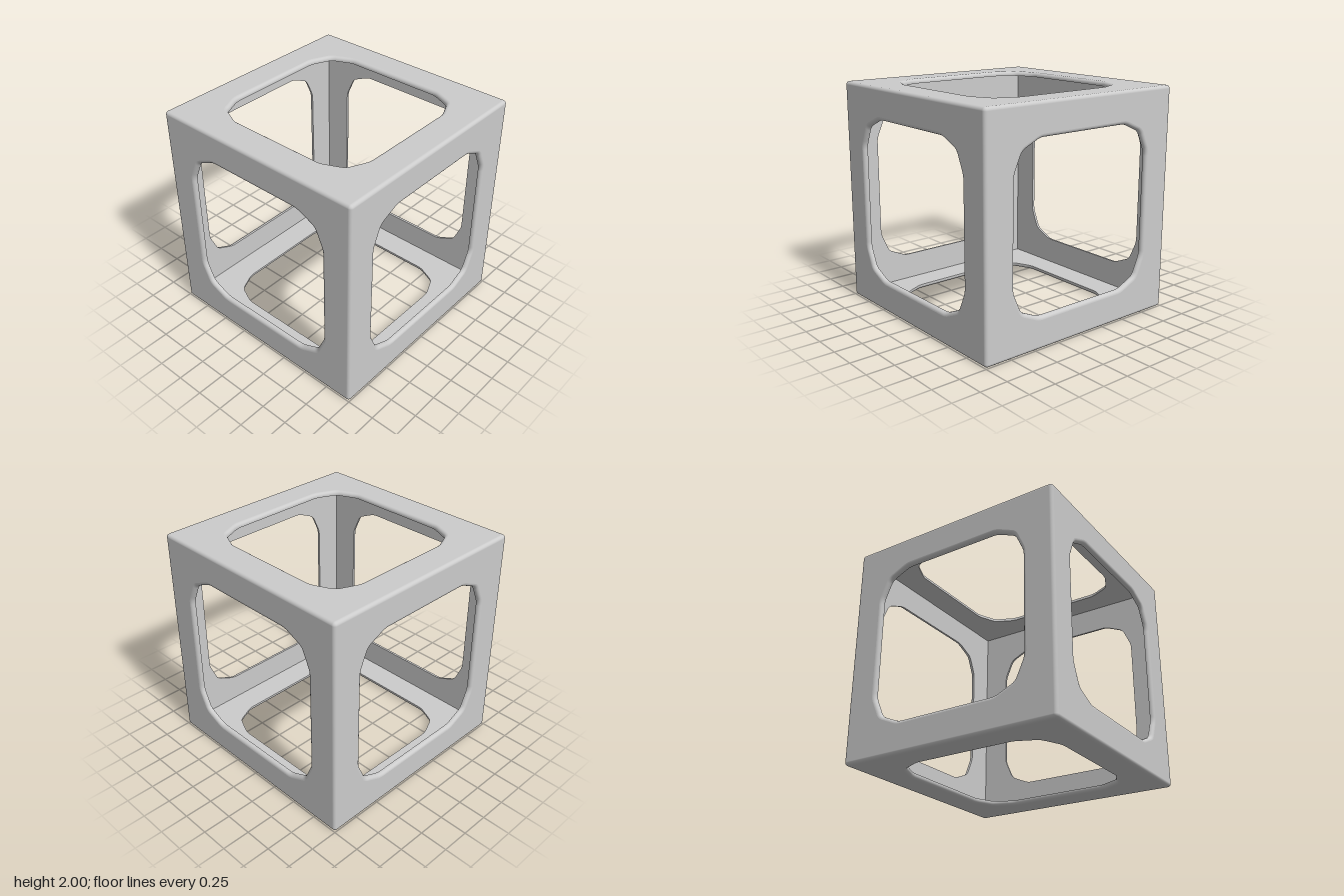
import * as THREE from 'three';

const WALL = 0.04;   // panel thickness
const R = 0.03;      // rounding of outer edges and window rims
const STEPS = 6;

// Twelve-sided window outline grown outward by d, corners slightly softened
function windowOutline(d) {
  const a = 0.72 + d, b = 0.46 + 0.21 * d, c = 0.64 + 0.757 * d;
  const corners = [];
  for (let q = 0; q < 4; q++) {
    for (const [x, y] of [[a, b], [c, c], [b, a]]) {
      corners.push(new THREE.Vector2(x, y).rotateAround(new THREE.Vector2(), q * Math.PI / 2));
    }
  }
  const points = [];
  corners.forEach((p, i) => {
    const prev = corners[(i + 11) % 12], next = corners[(i + 1) % 12];
    const from = p.clone().add(prev.clone().sub(p).setLength(0.04));
    const to = p.clone().add(next.clone().sub(p).setLength(0.04));
    points.push(...new THREE.QuadraticBezierCurve(from, p, to).getPoints(4));
  });
  return points;
}

// Flat square sheet with the window cut out
function sheet(half, d) {
  const shape = new THREE.Shape([[-1, -1], [1, -1], [1, 1], [-1, 1]]
    .map(([x, y]) => new THREE.Vector2(x * half, y * half)));
  shape.holes.push(new THREE.Path(windowOutline(d)));
  return new THREE.ShapeGeometry(shape);
}

// Rounded window rim lofted from the outer sheet to the inner sheet
function windowRim() {
  const rows = [];
  for (let k = 0; k <= STEPS; k++) {
    const t = k / STEPS * Math.PI / 2;
    rows.push([R * (1 - Math.sin(t)), 1 - R * (1 - Math.cos(t))]);
  }
  rows.push([0, 1 - WALL]);
  const pos = [], index = [];
  let n = 0;
  rows.forEach(([d, z]) => {
    const loop = windowOutline(d);
    n = loop.length;
    loop.forEach(p => pos.push(p.x, p.y, z));
  });
  for (let k = 0; k < rows.length - 1; k++) {
    for (let i = 0; i < n; i++) {
      const j = (i + 1) % n, a = k * n, b = a + n;
      index.push(a + i, a + j, b + j, a + i, b + j, b + i);
    }
  }
  const geo = new THREE.BufferGeometry();
  geo.setAttribute('position', new THREE.Float32BufferAttribute(pos, 3));
  geo.setIndex(index);
  geo.computeVertexNormals();
  return geo;
}

export function createModel() {
  const model = new THREE.Group();
  model.name = 'openCubeFrame';
  const grey = new THREE.MeshStandardMaterial({ color: 0xcccccc });
  grey.name = 'light grey';

  const add = (parent, name, geo) => {
    const mesh = new THREE.Mesh(geo, grey);
    mesh.name = name;
    parent.add(mesh);
    return mesh;
  };

  // Six identical windowed panels
  const outer = sheet(1 - R, R).translate(0, 0, 1);
  const inner = sheet(1 - WALL, 0).rotateY(Math.PI).translate(0, 0, 1 - WALL);
  const rim = windowRim();
  const H = Math.PI / 2;
  const sides = {
    front: [0, 0], left: [0, H], back: [0, Math.PI],
    right: [0, -H], top: [-H, 0], bottom: [H, 0],
  };
  for (const [side, [rx, ry]] of Object.entries(sides)) {
    const panel = new THREE.Group();
    panel.name = side + 'Panel';
    add(panel, side + 'OuterFace', outer);
    add(panel, side + 'InnerFace', inner);
    add(panel, side + 'WindowRim', rim);
    panel.rotation.set(rx, ry, 0);
    panel.position.y = 1;
    model.add(panel);
  }

  // Twelve rounded edges, four along each axis
  const edge = new THREE.CylinderGeometry(R, R, 2 - 2 * R, STEPS, 1, true, 0, H)
    .translate(1 - R, 0, 1 - R);
  const axes = { upright: [0, 0], cross: [0, H], depth: [H, 0] };
  for (const [axis, [rx, rz]] of Object.entries(axes)) {
    const edges = new THREE.Group();
    edges.name = axis + 'Edges';
    for (let i = 0; i < 4; i++) add(edges, axis + 'Edge', edge).rotation.y = i * H;
    edges.rotation.set(rx, 0, rz);
    edges.position.y = 1;
    model.add(edges);
  }

  // Eight rounded corners
  const corner = new THREE.SphereGeometry(R, STEPS, STEPS, 0, H, 0, H)
    .translate(R - 1, 1 - R, 1 - R);
  for (const [name, flip] of [['upperCorners', 0], ['lowerCorners', Math.PI]]) {
    const corners = new THREE.Group();
    corners.name = name;
    for (let i = 0; i < 4; i++) add(corners, 'corner', corner).rotation.y = i * H;
    corners.rotation.x = flip;
    corners.position.y = 1;
    model.add(corners);
  }
  return model;
}
